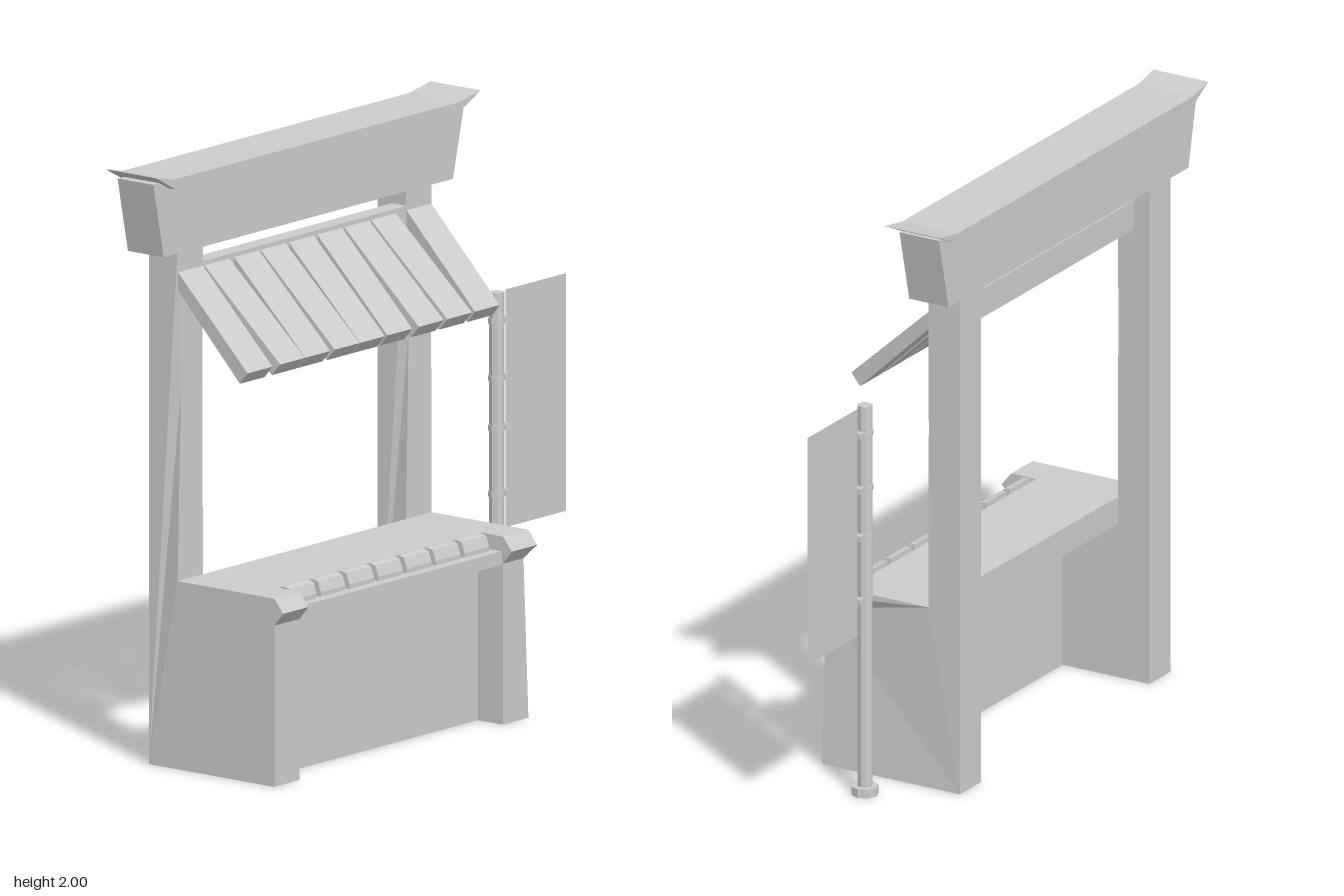
import * as THREE from 'three';

const material = new THREE.MeshStandardMaterial({ color: 0xcccccc, flatShading: true });
const thin = new THREE.MeshStandardMaterial({ color: 0xcccccc, side: THREE.DoubleSide });

export function createModel() {
  const group = new THREE.Group();

  function add(name, geometry, mat = material) {
    const mesh = new THREE.Mesh(geometry, mat);
    mesh.name = name;
    group.add(mesh);
    return mesh;
  }

  // Box given by its minimum and maximum on each axis
  function box(name, x0, x1, y0, y1, z0, z1) {
    const mesh = add(name, new THREE.BoxGeometry(x1 - x0, y1 - y0, z1 - z0));
    mesh.position.set((x0 + x1) / 2, (y0 + y1) / 2, (z0 + z1) / 2);
    return mesh;
  }

  function cylinder(name, radius, y0, y1, x, z, sides) {
    const mesh = add(name, new THREE.CylinderGeometry(radius, radius, y1 - y0, sides));
    mesh.position.set(x, (y0 + y1) / 2, z);
    return mesh;
  }

  // Side profile of [z, y] points extruded along x; shift(x, y, z) nudges corners in x
  function sideProfile(name, points, x0, x1, shift) {
    const shape = new THREE.Shape(points.map(([z, y]) => new THREE.Vector2(-z, y)));
    const geometry = new THREE.ExtrudeGeometry(shape, { depth: x1 - x0, bevelEnabled: false });
    geometry.rotateY(Math.PI / 2).translate(x0, 0, 0);
    const p = geometry.attributes.position;
    for (let i = 0; i < p.count; i++) {
      p.setX(i, p.getX(i) + shift(p.getX(i), p.getY(i), p.getZ(i)));
    }
    geometry.computeVertexNormals();
    return add(name, geometry);
  }

  // Front profile of [x, y] points extruded along z
  function frontProfile(name, points, z0, z1) {
    const shape = new THREE.Shape(points.map(([x, y]) => new THREE.Vector2(x, y)));
    const geometry = new THREE.ExtrudeGeometry(shape, { depth: z1 - z0, bevelEnabled: false });
    return add(name, geometry.translate(0, 0, z0));
  }

  // Side walls with rear posts, each with a few hand-hewn corners
  const wall = [
    [-0.26, 0], [0.265, 0], [0.265, 0.535], [0.302, 0.58], [0.265, 0.625],
    [-0.14, 0.625], [-0.142, 1.25], [-0.14, 1.72], [-0.26, 1.72],
  ];
  const atWaist = (y) => Math.abs(y - 1.25) < 0.01;
  sideProfile('rightSideWall', wall, -0.82, -0.69, (x, y) =>
    (atWaist(y) && x < -0.75 ? 0.02 : 0));
  sideProfile('leftSideWall', wall, 0.35, 0.48, (x, y) => {
    if (atWaist(y) && x < 0.4) return 0.015;
    return Math.abs(y - 0.535) < 0.01 && x > 0.4 ? -0.025 : 0;
  });

  // Counter
  box('frontPanel', -0.69, 0.35, 0, 0.535, 0.07, 0.16);
  box('counterTop', -0.69, 0.35, 0.53, 0.625, -0.14, 0.17);
  box('counterLedge', -0.69, 0.35, 0.53, 0.575, 0.17, 0.26);
  for (let i = 0; i < 7; i++) {
    const x = -0.68 + i * 0.147;
    sideProfile('counterBlock', [[0.185, 0.57], [0.225, 0.57], [0.225, 0.59], [0.212, 0.625], [0.187, 0.63]],
      x, x + 0.126, () => 0);
  }

  // Rail and sloping awning boards: [x at top, x at bottom]
  box('awningRail', -0.69, 0.35, 1.565, 1.665, -0.2, -0.14);
  const boards = [
    [-0.817, -0.845], [-0.682, -0.68], [-0.53, -0.55], [-0.395, -0.4], [-0.25, -0.27],
    [-0.105, -0.13], [0.033, 0.03], [0.17, 0.175], [0.352, 0.318],
  ];
  const boardProfile = [[-0.14, 1.65], [0.175, 1.365], [0.14, 1.325], [-0.14, 1.59]];
  for (const [top, bottom] of boards) {
    sideProfile('awningBoard', boardProfile, top, top + 0.127, (x, y, z) =>
      (bottom - top) * (z + 0.14) / 0.3);
  }

  // Flared top beam and its cap with upturned tips
  frontProfile('topBeam', [[-0.915, 1.72], [0.565, 1.72], [0.625, 1.975], [-0.97, 1.975]]
    .map(([x, y]) => [y > 1.9 && x < 0 ? -0.968 : x, y > 1.9 ? 1.97 : y]), -0.27, -0.12);
  frontProfile('beamCap', [
    [-0.99, 2], [-0.89, 1.945], [0.555, 1.945], [0.67, 2], [0.56, 1.98], [-0.9, 1.98],
  ], -0.3, -0.09);

  // Free-standing sign on a pole
  const px = 0.636, pz = 0.005;
  cylinder('signPole', 0.025, 0, 1.35, px, pz, 8);
  cylinder('poleBase', 0.045, 0, 0.03, px, pz, 8);
  for (const y of [0.68, 0.9, 1.065, 1.255]) {
    cylinder('signRing', 0.028, y - 0.009, y + 0.009, px, pz, 8);
    box('ringTab', px + 0.02, 0.684, y - 0.009, y + 0.009, pz - 0.012, pz + 0.012);
  }
  const sign = add('signCloth', new THREE.PlaneGeometry(0.31, 0.79), thin);
  sign.position.set(0.835, 0.955, pz);

  return group;
}
